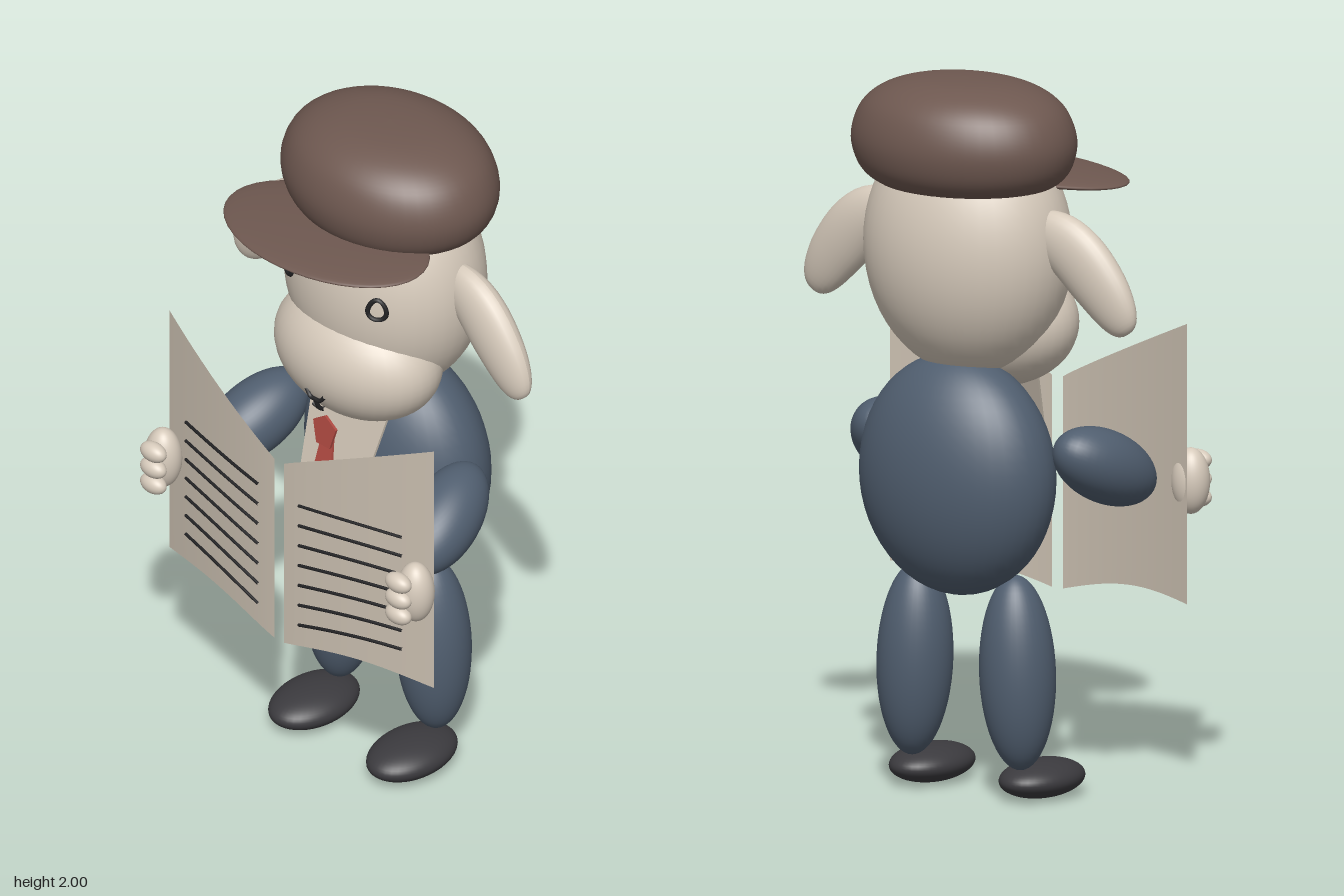
import * as THREE from 'three';

const mat = (name, color, side = THREE.FrontSide) => {
  const m = new THREE.MeshStandardMaterial({ color, side });
  m.name = name;
  return m;
};

export function createModel() {
  const model = new THREE.Group();
  const wool = mat('cream', 0xd6cabb);
  const paper = mat('paper', 0xcabfb0, THREE.DoubleSide);
  const suit = mat('slate blue', 0x505e6f);
  const felt = mat('brown', 0x6e5850);
  const shoeMat = mat('charcoal', 0x3b3a3e);
  const ink = mat('ink', 0x222224);
  const red = mat('red', 0xb04a42);

  const add = (name, geo, material, parent = model) => {
    const m = new THREE.Mesh(geo, material);
    m.name = name;
    parent.add(m);
    return m;
  };
  const ball = (name, material, pos, radii, parent = model) => {
    const m = add(name, new THREE.SphereGeometry(1, 40, 28), material, parent);
    m.position.set(...pos);
    m.scale.set(...radii);
    return m;
  };
  const tube = (name, pts, r, closed = false) => {
    const curve = new THREE.CatmullRomCurve3(pts.map(p => new THREE.Vector3(...p)), closed);
    return add(name, new THREE.TubeGeometry(curve, 28, r, 6, closed), ink);
  };
  // Thin flat plate from an outline
  const plate = (name, pts, material, pos, tilt) => {
    const shape = new THREE.Shape(pts.map(p => new THREE.Vector2(...p)));
    const m = add(name, new THREE.ExtrudeGeometry(shape, { depth: 0.008, bevelEnabled: false }), material);
    m.position.set(...pos);
    m.rotation.x = tilt;
    return m;
  };

  // Head, muzzle and body
  ball('head', wool, [0, 1.53, -0.09], [0.305, 0.36, 0.245]);
  ball('muzzle', wool, [0, 1.31, 0.015], [0.265, 0.19, 0.185]);
  ball('body', suit, [0, 0.9, -0.14], [0.3, 0.335, 0.193]);

  // Cap: squashed dome with a flat underside, and a tilted brim
  const capProfile = [[0, 1.7], [0.74, 1.7], [0.87, 1.725], [0.96, 1.765], [1, 1.82], [0.97, 1.875],
    [0.88, 1.925], [0.72, 1.963], [0.5, 1.987], [0.26, 1.997], [0, 2]];
  const capCurve = new THREE.SplineCurve(capProfile.slice(1).map(p => new THREE.Vector2(...p)));
  const capPts = [new THREE.Vector2(0, 1.7), ...capCurve.getPoints(36)];
  capPts[capPts.length - 1].x = 0;
  const cap = add('cap', new THREE.LatheGeometry(capPts, 48), felt);
  cap.scale.set(0.33, 1, 0.26);
  cap.position.z = -0.11;
  const brim = ball('capBrim', felt, [-0.03, 1.715, 0.11], [0.34, 0.022, 0.197]);
  brim.rotation.set(0.03, 0, 0.05);

  // Drooping ear: a sphere bent along a curve
  const ear = s => {
    const path = new THREE.CatmullRomCurve3([[0.2, 1.61], [0.33, 1.565], [0.43, 1.47], [0.525, 1.34]]
      .map(([x, y], i) => new THREE.Vector3(s * x, y, -0.1 + i * 0.007)));
    const geo = new THREE.SphereGeometry(1, 28, 28);
    const pos = geo.attributes.position;
    for (let i = 0; i < pos.count; i++) {
      const x = pos.getX(i), y = pos.getY(i), z = pos.getZ(i);
      const u = THREE.MathUtils.clamp((y + 1) / 2, 0, 1);
      const p = path.getPoint(u), t = path.getTangent(u);
      const boost = Math.pow(Math.max(Math.hypot(x, z), 1e-4), -0.25);
      pos.setXYZ(i, p.x + t.y * x * 0.088 * boost, p.y - t.x * x * 0.088 * boost, p.z + z * 0.052 * boost);
    }
    geo.computeVertexNormals();
    return geo;
  };

  // Curved newspaper page, u runs outward from the fold
  const pageZ = u => 0.33 - 0.09 * Math.pow(u, 1.6);
  const page = s => {
    const geo = new THREE.PlaneGeometry(1, 1, 24, 12);
    const pos = geo.attributes.position;
    for (let i = 0; i < pos.count; i++) {
      const u = Math.max(0, pos.getX(i) + 0.5), v = pos.getY(i) + 0.5;
      const top = 1.09 + 0.22 * Math.pow(u, 0.93);
      const bottom = 0.5 + 0.03 * u + 0.03 * Math.sin(Math.PI * u);
      pos.setXYZ(i, s * (0.018 + 0.477 * u), bottom + (top - bottom) * v, pageZ(u));
    }
    geo.computeVertexNormals();
    return geo;
  };

  for (const s of [1, -1]) {
    const side = s > 0 ? 'left' : 'right';
    add(side + 'Ear', ear(s), wool);

    // Teardrop eye outline lying on the head
    const eye = [];
    for (let i = 0; i < 12; i++) {
      const a = i / 12 * Math.PI * 2;
      const x = s * 0.165 + 0.023 * Math.cos(a) * (1 - 0.25 * Math.sin(a)), y = 1.56 + 0.031 * Math.sin(a);
      eye.push([x, y, -0.087 + 0.245 * Math.sqrt(1 - (x / 0.305) ** 2 - ((y - 1.53) / 0.36) ** 2)]);
    }
    tube(side + 'Eye', eye, 0.007, true);

    // Arm reaching forward and down
    const arm = ball(side + 'Arm', suit, [s * 0.355, 0.93, 0.05], [0.1, 0.1, 0.18]);
    arm.quaternion.setFromUnitVectors(new THREE.Vector3(0, 0, 1),
      new THREE.Vector3(s * 0.2, -0.42, 0.85).normalize());

    // Hand gripping the page edge
    const hand = new THREE.Group();
    hand.name = side + 'Hand';
    model.add(hand);
    ball('palm', wool, [s * 0.472, 0.863, 0.29], [0.054, 0.092, 0.051], hand);
    for (const y of [0.912, 0.86, 0.808])
      ball('finger', wool, [s * 0.458, y, 0.343], [0.043, 0.028, 0.027], hand);

    // Leg and shoe
    const leg = ball(side + 'Leg', suit, [s * 0.171, 0.36, -0.1], [0.105, 0.27, 0.104]);
    leg.rotation.z = s * 0.04;
    ball(side + 'Shoe', shoeMat, [s * 0.183, 0.053, -0.002], [0.1, 0.052, 0.148]);

    // Page with seven printed rules
    add(side + 'Page', page(s), paper);
    for (let i = 0; i < 7; i++) {
      const pts = [];
      for (let k = 0; k <= 4; k++) {
        const t = k / 4, x = 0.075 + 0.33 * t;
        const y = 1.0 - 0.0615 * i - (0.02 + 0.004 * i) * (1 - t) ** 2;
        pts.push([s * x, y, pageZ((x - 0.018) / 0.477) + 0.006]);
      }
      tube(side + 'PrintedLine', pts, 0.0045);
    }
  }

  // Nose and mouth strokes
  tube('nose', [[-0.034, 1.245, 0.186], [-0.018, 1.226, 0.187], [0, 1.224, 0.187], [0.018, 1.226, 0.187],
    [0.034, 1.245, 0.186]], 0.006);
  tube('noseStem', [[0, 1.224, 0.187], [0, 1.205, 0.18], [0, 1.188, 0.166 + 0.005]], 0.006);
  tube('mouth', [[-0.022, 1.194, 0.172], [0, 1.187, 0.17], [0.022, 1.194, 0.172]], 0.006);

  // Shirt front and necktie
  plate('shirtFront', [[-0.14, 0], [-0.11, -0.26], [0.11, -0.26], [0.14, 0]], paper, [0, 1.17, 0.035], -0.34);
  plate('tieKnot', [[-0.025, -0.045], [0.025, -0.045], [0.042, 0.02], [0, 0.048], [-0.042, 0.02]],
    red, [0, 1.1, 0.145], -0.1);
  plate('tieBlade', [[-0.02, 0], [-0.048, -0.24], [0, -0.3], [0.048, -0.24], [0.02, 0]],
    red, [0, 1.075, 0.132], -0.2);

  return model;
}
